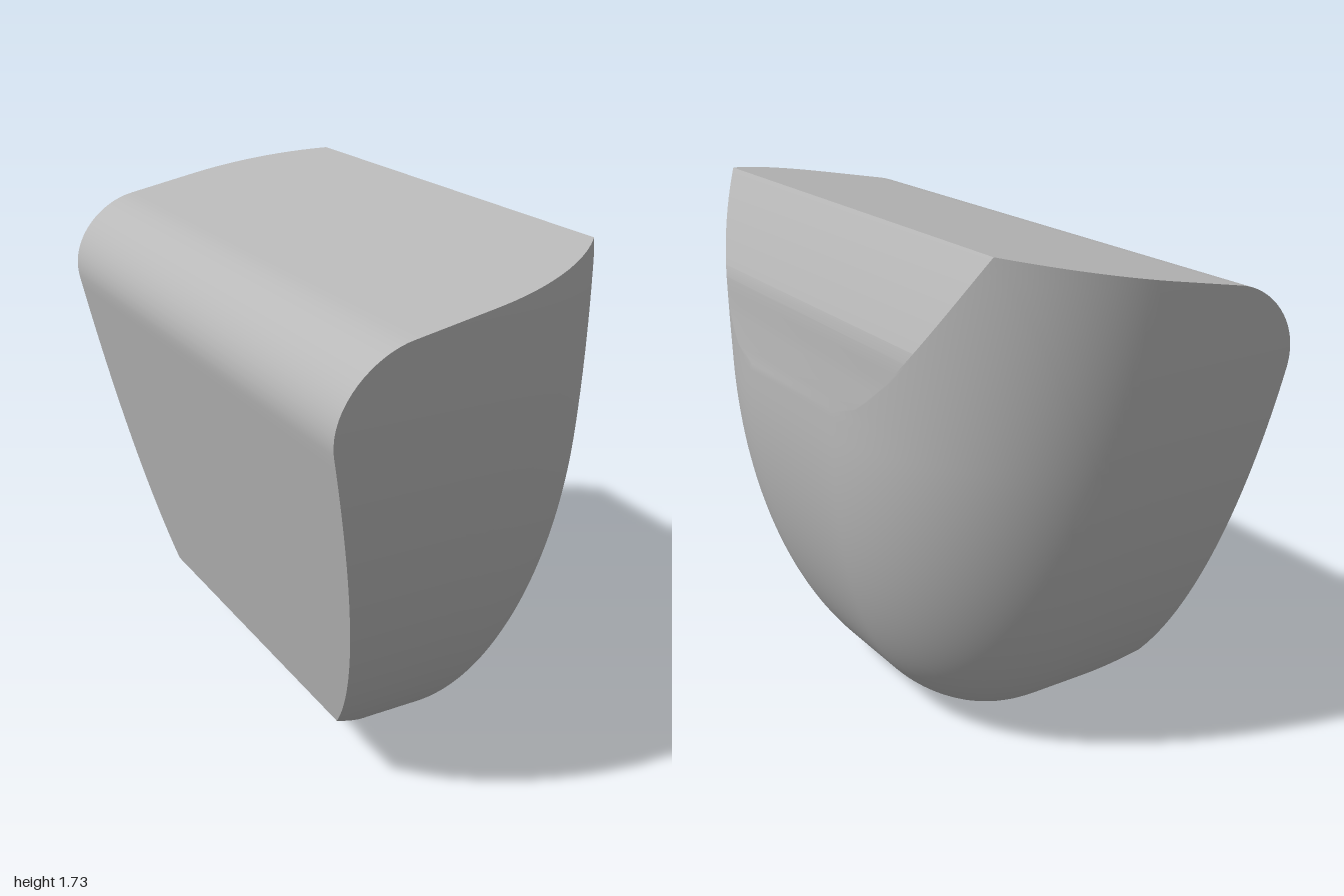
import * as THREE from 'three';
import { toCreasedNormals } from 'three/addons/utils/BufferGeometryUtils.js';

const V = (x, y) => new THREE.Vector2(x, y);

// Horizontal sections are D-shaped: flat at -x, elliptical corners towards +x.
const swell = (y) => Math.pow(Math.max(0, 1 - ((1.1 - Math.min(y, 1.1)) / 1.1) ** 2), 0.55);
const rightEdge = (y) => 0.05 + 0.527 * swell(y);
const fullWidth = (y) => Math.pow(Math.max(0, 1 - ((1.65 - Math.min(y, 1.65)) / 1.65) ** 2), 0.35);

// Half width in z at any point of the front outline
function halfWidth(x, y) {
  const w = fullWidth(y), flat = 0.28 * w;
  const start = 0.05 - 0.15 * swell(y);
  if (x <= start) return w;
  const t = Math.min(1, (x - start) / (rightEdge(y) - start));
  return flat + (w - flat) * Math.sqrt(1 - t * t);
}

// Front outline, anticlockwise from the lowest point
function outline() {
  const corners = [];
  for (let i = 0; i <= 64; i++) {
    const y = 1.1 * (1 - Math.cos((i / 64) * Math.PI / 2));
    corners.push(V(rightEdge(y), y));
  }
  // slanted cut at the upper right, tilted top, rounded shoulder
  corners.push(...new THREE.QuadraticBezierCurve(V(0.577, 1.18), V(0.5, 1.48), V(0.365, 1.725)).getPoints(16));
  corners.push(...new THREE.CubicBezierCurve(V(-0.35, 1.59), V(-0.47, 1.57), V(-0.6, 1.45), V(-0.58, 1.31)).getPoints(16));
  // flat back, chamfered underside, rounded keel
  corners.push(V(-0.38, 0.24));
  corners.push(...new THREE.QuadraticBezierCurve(V(-0.07, 0.03), V(-0.02, 0), V(0.05, 0)).getPoints(10));
  corners.pop();

  // Divide the long straight runs
  const points = [];
  corners.forEach((a, i) => {
    const b = corners[(i + 1) % corners.length];
    const n = Math.max(1, Math.ceil(a.distanceTo(b) / 0.04));
    for (let k = 0; k < n; k++) points.push(a.clone().lerp(b, k / n));
  });
  return points;
}

function bodyGeometry() {
  const edge = outline(), centre = V(0, 0.9), rings = 28, pos = [];
  const at = (i, k, side) => {
    const r = 1 - Math.pow(1 - k / rings, 2.3);
    const p = centre.clone().lerp(edge[i % edge.length], r);
    return [p.x, p.y, side * halfWidth(p.x, p.y)];
  };
  const tri = (a, b, c) => pos.push(...a, ...b, ...c);
  for (let i = 0; i < edge.length; i++) {
    // Two mirrored sides, as rings growing from the centre
    for (const side of [1, -1]) {
      const [m, n] = side > 0 ? [i, i + 1] : [i + 1, i];
      for (let k = 0; k < rings; k++) {
        tri(at(m, k, side), at(m, k + 1, side), at(n, k + 1, side));
        if (k > 0) tri(at(m, k, side), at(n, k + 1, side), at(n, k, side));
      }
    }
    // Band across the outline
    const a = at(i, rings, 1), b = at(i, rings, -1);
    const c = at(i + 1, rings, -1), d = at(i + 1, rings, 1);
    tri(a, b, c);
    tri(a, c, d);
  }
  const geometry = new THREE.BufferGeometry();
  geometry.setAttribute('position', new THREE.Float32BufferAttribute(pos, 3));
  return toCreasedNormals(geometry, 0.55);
}

export function createModel() {
  const grey = new THREE.MeshStandardMaterial({ color: 0xb8b8b8 });
  grey.name = 'grey';
  const body = new THREE.Mesh(bodyGeometry(), grey);
  body.name = 'body';
  const group = new THREE.Group();
  group.name = 'roundedBlock';
  group.add(body);
  return group;
}
